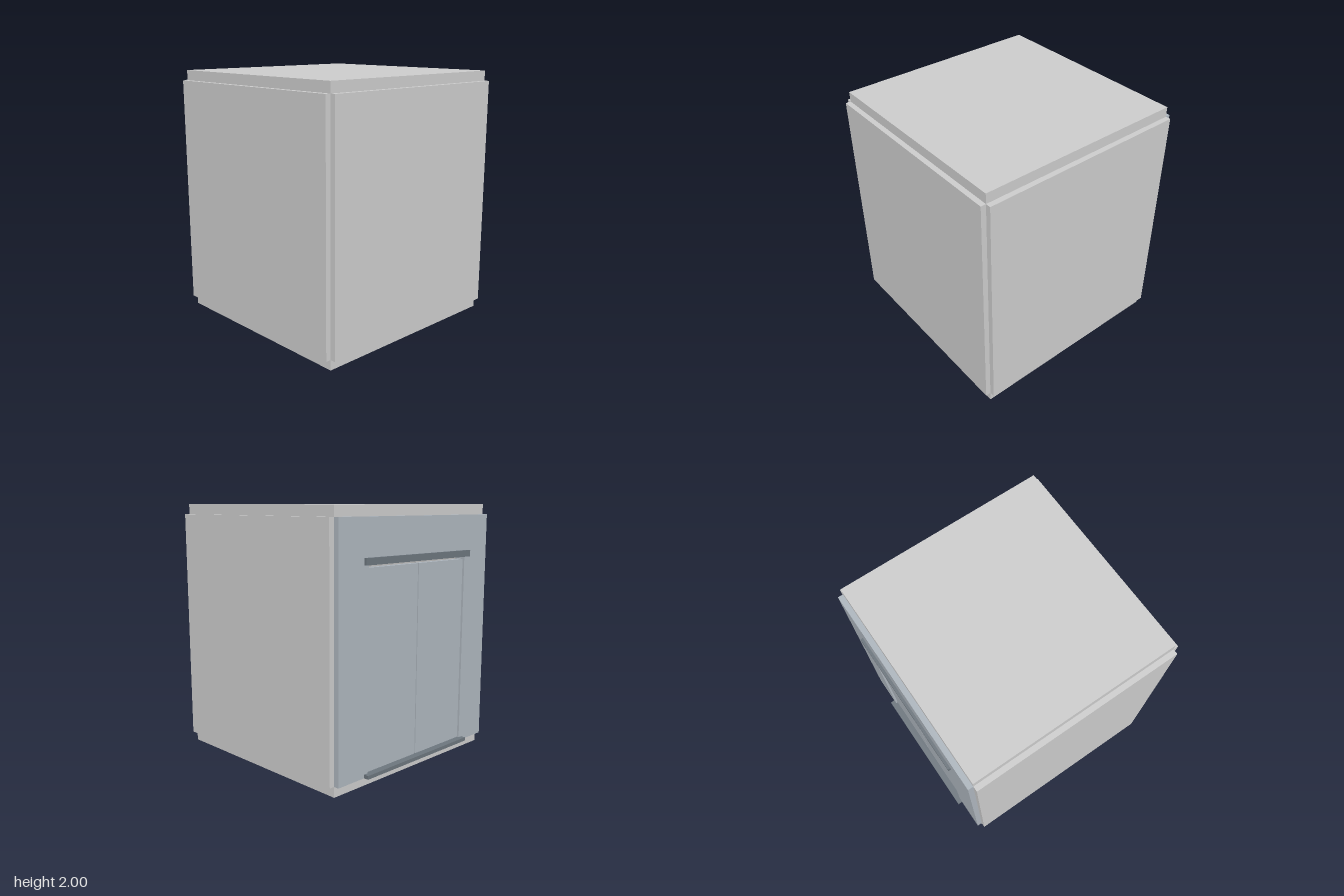
import * as THREE from 'three';

const SIDE = 1.686;   // square floor plan
const T = 0.083;      // panel thickness
const H = 1.84;       // wall height
const CZ = 0.018;     // centre of the cabin in z
const BACK = CZ - SIDE / 2;
const OPEN_W = 1.1, OPEN_TOP = 1.595;

const grey = new THREE.MeshStandardMaterial({ color: 0xcccccc });
const steel = new THREE.MeshStandardMaterial({ color: 0xadb5bd });
const darkSteel = new THREE.MeshStandardMaterial({ color: 0x6c757d });

export function createModel() {
  const cabin = new THREE.Group();
  cabin.name = 'liftCabin';

  const add = (name, geometry, material, x, y, z) => {
    const mesh = new THREE.Mesh(geometry, material);
    mesh.name = name;
    mesh.position.set(x, y, z);
    cabin.add(mesh);
  };
  const box = (name, material, w, h, d, x, y, z) =>
    add(name, new THREE.BoxGeometry(w, h, d), material, x, y, z);

  // Floor and ceiling slabs
  box('floor', grey, SIDE, 0.08, SIDE, 0, 0.04, CZ);
  box('ceiling', grey, SIDE, 0.08, SIDE, 0, 1.96, CZ);

  // Plain walls, centred on the floor edges so the corners stay notched
  box('frontWall', grey, SIDE, H, T, 0, 1, CZ + SIDE / 2);
  for (const [name, s] of [['leftWall', 1], ['rightWall', -1]]) {
    box(name, grey, T, H, SIDE, s * SIDE / 2, 1, CZ);
  }

  // Door wall with the doorway cut out from the bottom edge
  const w = SIDE / 2, o = OPEN_W / 2;
  const outline = new THREE.Shape([
    [-w, 0.08], [-o, 0.08], [-o, OPEN_TOP], [o, OPEN_TOP],
    [o, 0.08], [w, 0.08], [w, 1.92], [-w, 1.92],
  ].map(([x, y]) => new THREE.Vector2(x, y)));
  const wall = new THREE.ExtrudeGeometry(outline, { depth: T, bevelEnabled: false });
  add('doorWall', wall, steel, 0, 0, BACK - T / 2);

  // Two sliding doors, slightly recessed, with a narrow gap between them
  const gap = 0.01, doorW = o - gap / 2, doorBottom = 0.1, doorTop = 1.575;
  for (const [name, s] of [['leftDoor', 1], ['rightDoor', -1]]) {
    box(name, steel, doorW, doorTop - doorBottom, 0.04,
      s * (gap + doorW) / 2, (doorTop + doorBottom) / 2, BACK - 0.005);
  }

  // Header rail over the doorway and the projecting sill below it
  box('doorHeader', darkSteel, 1.195, 0.05, 0.04, 0, 1.62, -0.867);
  box('doorSill', darkSteel, 1.17, 0.028, 0.08, 0, 0.094, -0.865);

  return cabin;
}
